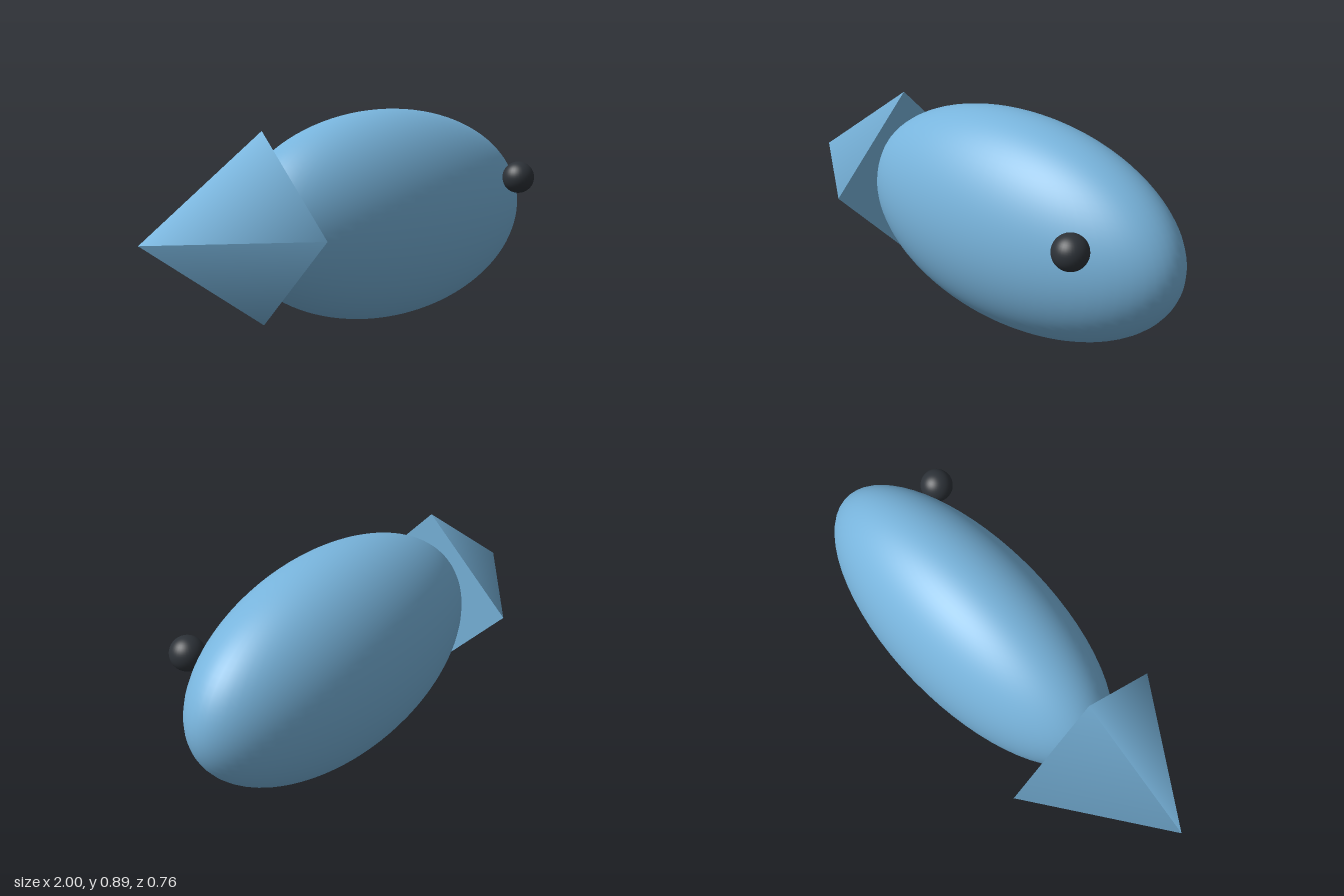
import * as THREE from 'three';

export function createModel() {
  const fish = new THREE.Group();
  fish.name = 'fish';

  const skin = new THREE.MeshStandardMaterial({ color: 0x78b4dc });
  skin.name = 'blue skin';
  const dark = new THREE.MeshStandardMaterial({ color: 0x2d3238 });
  dark.name = 'eye black';

  const add = (name, geometry, material, x, y, z) => {
    const mesh = new THREE.Mesh(geometry, material);
    mesh.name = name;
    mesh.position.set(x, y, z);
    fish.add(mesh);
    return mesh;
  };

  // Body: a long ellipsoid, narrow from side to side
  const body = new THREE.SphereGeometry(1, 64, 48).scale(0.778, 0.445, 0.333);
  add('body', body, skin, 0.222, 0.447, 0);

  // Tail: a four-sided cone with its point at the rear
  const tail = new THREE.ConeGeometry(0.381, 0.553, 4).rotateZ(Math.PI / 2);
  add('tail', tail, skin, -0.7235, 0.447, 0);

  // Single eye on the front side
  add('eye', new THREE.SphereGeometry(0.069, 32, 24), dark, 0.74, 0.587, 0.294);

  return fish;
}
